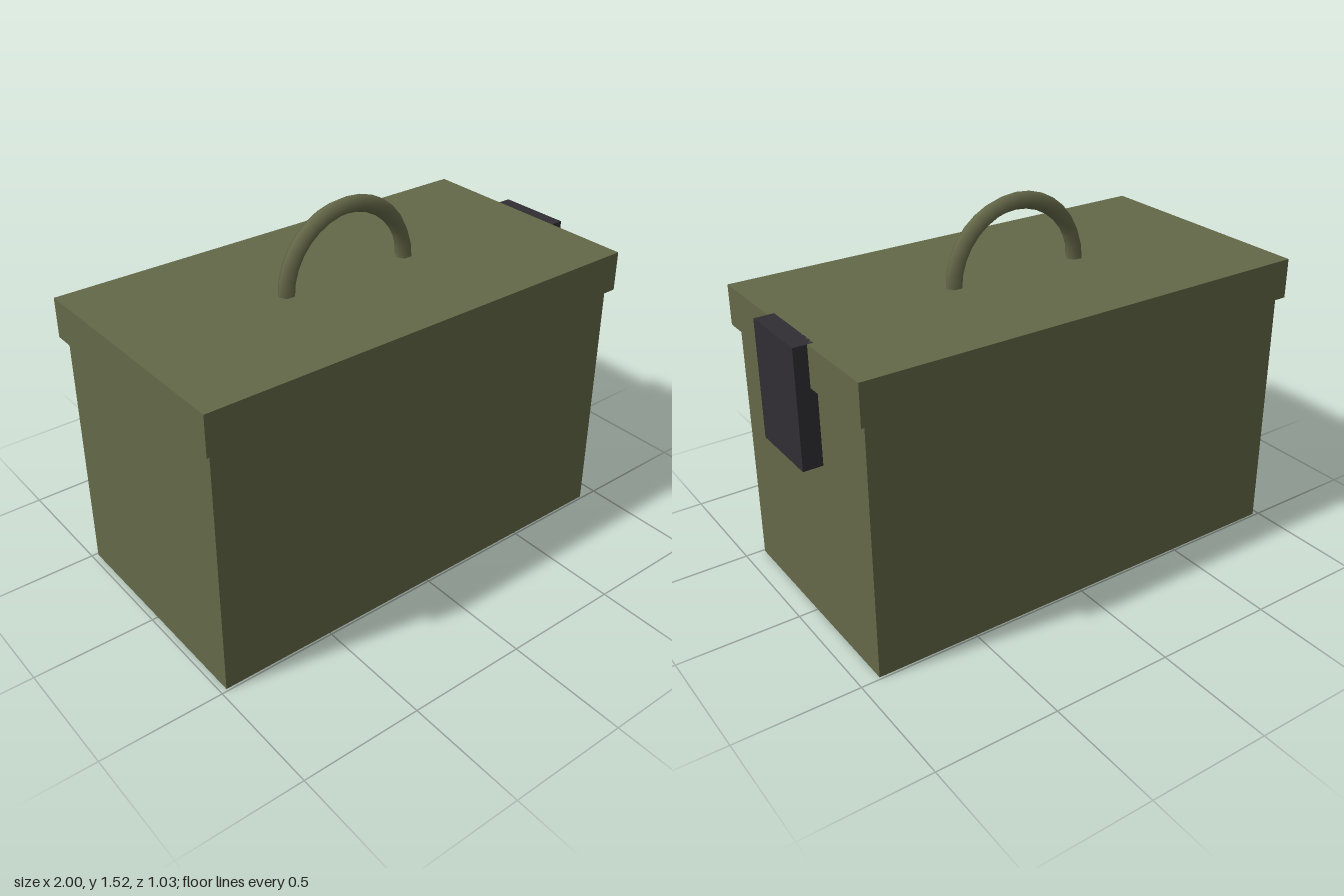
import * as THREE from 'three';

const olive = new THREE.MeshStandardMaterial({ color: 0x646848 });
const dark = new THREE.MeshStandardMaterial({ color: 0x302e34 });

// Box given by its extents in x and y, centred on z = 0
function block(name, x0, x1, y0, y1, depth, material) {
  const mesh = new THREE.Mesh(new THREE.BoxGeometry(x1 - x0, y1 - y0, depth), material);
  mesh.position.set((x0 + x1) / 2, (y0 + y1) / 2, 0);
  mesh.name = name;
  return mesh;
}

export function createModel() {
  const group = new THREE.Group();
  group.name = 'storageBox';

  // Box body, overhanging lid and the latch on one end
  group.add(
    block('body', -0.975, 0.92, 0, 1.04, 0.98, olive),
    block('lid', -1, 0.945, 1.04, 1.205, 1.03, olive),
    block('latch', 0.92, 1, 0.725, 1.205, 0.312, dark)
  );

  // Half-ring carrying handle with a six-sided section
  const handle = new THREE.Mesh(new THREE.TorusGeometry(0.285, 0.035, 6, 16, Math.PI), olive);
  handle.position.set(-0.028, 1.205, 0);
  handle.name = 'handle';
  group.add(handle);

  return group;
}
